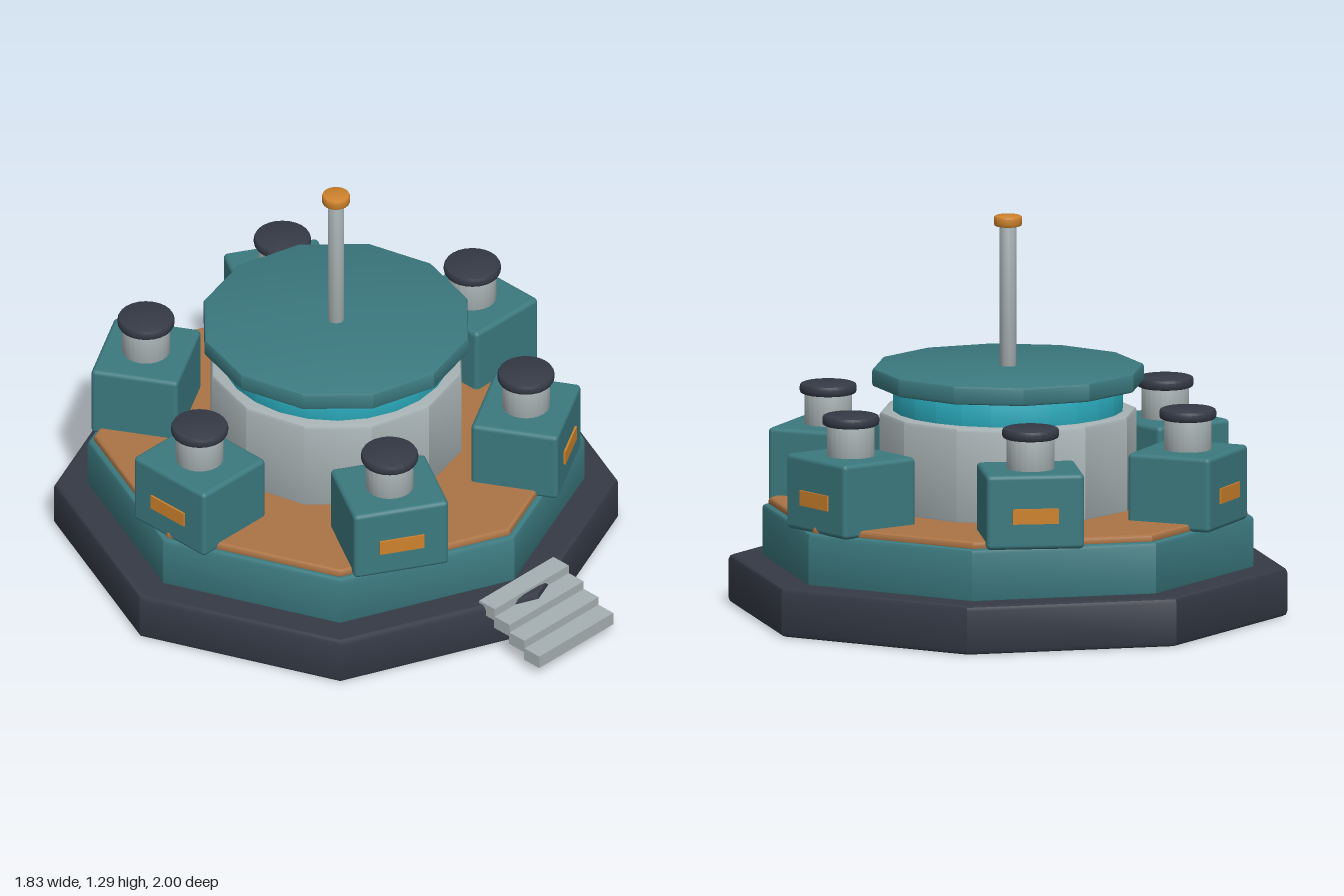
import * as THREE from 'three';
import { toCreasedNormals } from 'three/addons/utils/BufferGeometryUtils.js';
import { RoundedBoxGeometry } from 'three/addons/geometries/RoundedBoxGeometry.js';

const paint = (name, color) => {
  const m = new THREE.MeshStandardMaterial({ color });
  m.name = name;
  return m;
};

export function createModel() {
  const dark = paint('charcoal', 0x353a46);
  const teal = paint('teal', 0x3b797f);
  const copper = paint('copper', 0xab7446);
  const grey = paint('light grey', 0xa6b0b2);
  const cyan = paint('cyan glass', 0x2caec0);
  const orange = paint('orange', 0xcd822c);

  const add = (parent, name, geometry, material, x = 0, y = 0, z = 0) => {
    const mesh = new THREE.Mesh(geometry, material);
    mesh.name = name;
    mesh.position.set(x, y, z);
    parent.add(mesh);
    return mesh;
  };

  // Upright prism or drum with chamfered rims, a corner pointing along +z
  const drum = (radius, bottom, top, sides, bevel) => {
    const profile = [
      [0, bottom], [radius - bevel, bottom], [radius - bevel * 0.3, bottom + bevel * 0.3],
      [radius, bottom + bevel], [radius, top - bevel],
      [radius - bevel * 0.3, top - bevel * 0.3], [radius - bevel, top], [0, top],
    ].map(([x, y]) => new THREE.Vector2(x, y));
    return toCreasedNormals(new THREE.LatheGeometry(profile, sides), 0.42);
  };

  const model = new THREE.Group();
  model.name = 'station';
  const body = new THREE.Group();
  body.name = 'body';
  body.position.z = -0.085;
  model.add(body);

  // Stacked octagonal platform
  add(body, 'foundation', drum(0.915, 0, 0.16, 8, 0.016), dark);
  add(body, 'lowerHull', drum(0.805, 0.15, 0.328, 8, 0.014), teal);
  add(body, 'deck', drum(0.785, 0.32, 0.35, 8, 0.012), copper);

  // Central twelve-sided tower
  add(body, 'towerWall', drum(0.42, 0.34, 0.66, 12, 0.014), grey);
  add(body, 'windowBand', drum(0.375, 0.65, 0.75, 24, 0.002), cyan);
  add(body, 'roof', drum(0.443, 0.74, 0.802, 12, 0.01), teal);
  add(body, 'mast', drum(0.027, 0.79, 1.27, 20, 0.002), grey);
  add(body, 'mastCap', drum(0.046, 1.26, 1.295, 20, 0.008), orange);

  // Six pods around the tower, each facing outward
  for (let i = 0; i < 6; i++) {
    const pod = new THREE.Group();
    pod.name = 'pod' + (i + 1);
    pod.rotation.y = (i * Math.PI) / 3;
    body.add(pod);
    add(pod, 'podBody', new RoundedBoxGeometry(0.29, 0.245, 0.32, 3, 0.015), teal, 0.635, 0.4475);
    add(pod, 'podVent', drum(0.078, 0.56, 0.68, 24, 0.002), grey, 0.635);
    add(pod, 'ventCap', drum(0.093, 0.668, 0.704, 24, 0.012), dark, 0.635);
    add(pod, 'podLight', new THREE.BoxGeometry(0.009, 0.05, 0.15), orange, 0.782, 0.435);
  }

  // Entry stairs at the front
  const stairs = new THREE.Group();
  stairs.name = 'stairs';
  model.add(stairs);
  for (let i = 0; i < 4; i++) {
    add(stairs, 'step' + (i + 1), new THREE.BoxGeometry(0.345, 0.045, 0.07), grey,
      0, 0.057 + i * 0.03, 0.965 - i * 0.067);
  }
  return model;
}
